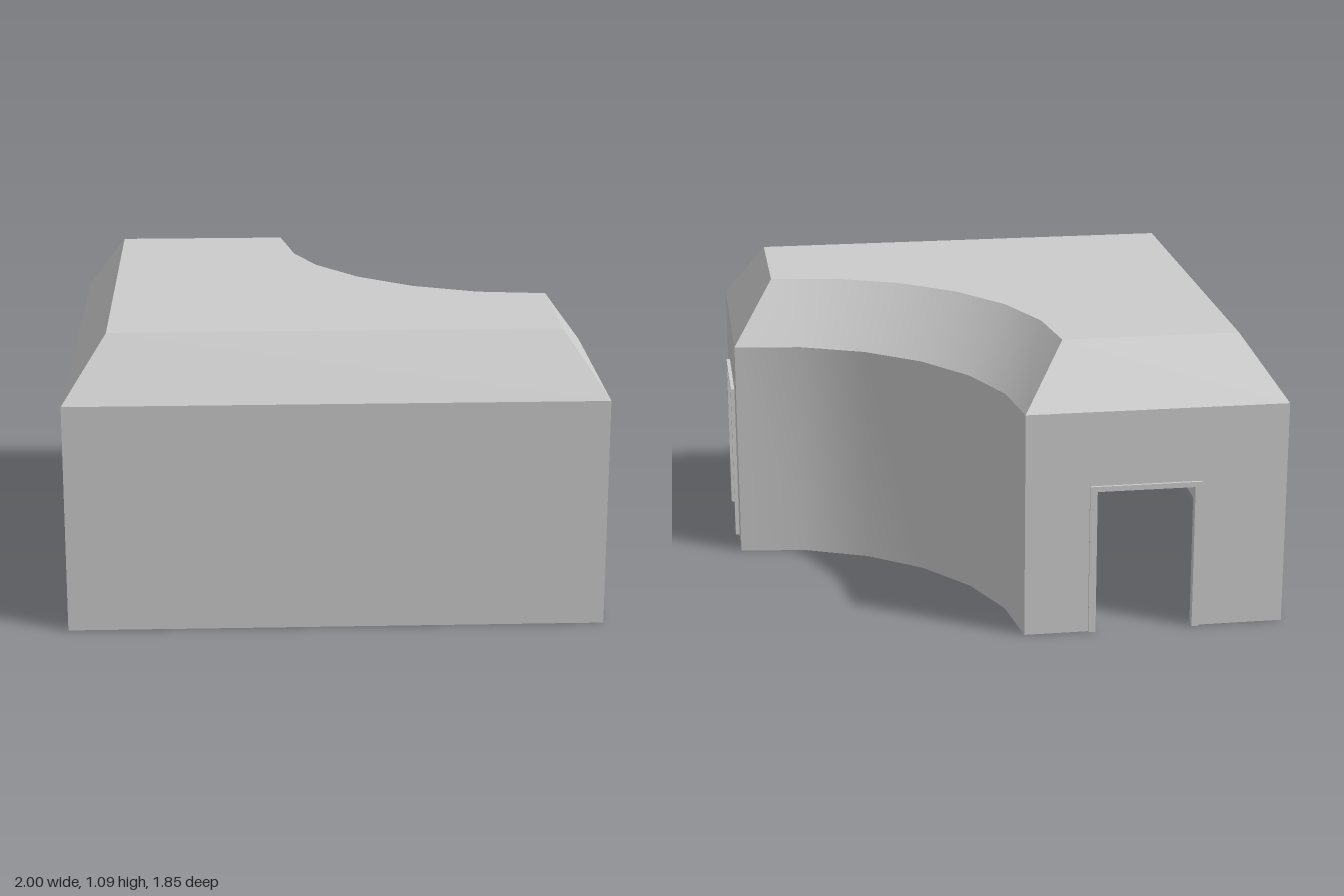
import * as THREE from 'three';
import { toCreasedNormals } from 'three/addons/utils/BufferGeometryUtils.js';

const WALL = 0.025, EAVE = 0.86, TOP = 1.09, SLOPE = 0.16;
const X0 = -1, X1 = 0.98, Z0 = -0.92, Z1 = 0.92;
const BACK_EDGE = 0, RIGHT_EDGE = 7;

// Footprint moved inwards by d: rectangle with a quarter circle bitten out of one corner
function ring(d) {
  const cx = X1 - d, cz = Z0 + d, pts = [[X0 + d, Z0 + d]];
  for (let i = 0; i <= 6; i++) {
    const a = (i / 6) * Math.PI / 2;
    pts.push([cx - Math.cos(a), cz + Math.sin(a)]);
  }
  pts.push([X1 - d, Z1 - d], [X0 + d, Z1 - d]);
  return pts;
}

// Band of quads between two rings, optionally leaving out edges
function band(a, ya, b, yb, inward = false, skip = []) {
  const pos = [];
  for (let i = 0; i < a.length; i++) {
    if (skip.includes(i)) continue;
    const j = (i + 1) % a.length;
    const p = [a[i][0], ya, a[i][1]], q = [a[j][0], ya, a[j][1]];
    const r = [b[j][0], yb, b[j][1]], s = [b[i][0], yb, b[i][1]];
    const tris = inward ? [p, q, r, p, r, s] : [p, s, r, p, r, q];
    tris.forEach((v) => pos.push(...v));
  }
  const g = new THREE.BufferGeometry();
  g.setAttribute('position', new THREE.Float32BufferAttribute(pos, 3));
  return toCreasedNormals(g, 0.5);
}

// Flat sheet filling a ring, facing up or down
function sheet(pts, y, up) {
  const s = up ? -1 : 1;
  const shape = new THREE.Shape(pts.map(([x, z]) => new THREE.Vector2(x, s * z)));
  return new THREE.ShapeGeometry(shape).rotateX(s * Math.PI / 2).translate(0, y, 0);
}

// Upright slab with a doorway notch that reaches the ground
function notched(u0, u1, height, n0, n1, notchHeight, back, front) {
  const corners = [[u0, 0], [n0, 0], [n0, notchHeight], [n1, notchHeight], [n1, 0], [u1, 0], [u1, height], [u0, height]];
  const shape = new THREE.Shape(corners.map(([x, y]) => new THREE.Vector2(x, y)));
  return new THREE.ExtrudeGeometry(shape, { depth: front - back, bevelEnabled: false }).translate(0, 0, back);
}

export function createModel() {
  const model = new THREE.Group();
  const material = new THREE.MeshStandardMaterial({ color: 0xcccccc });
  const add = (name, geometry, parent = model) => {
    const mesh = new THREE.Mesh(geometry, material);
    mesh.name = name;
    parent.add(mesh);
  };

  const outer = ring(0), inner = ring(WALL);
  const roof = ring(SLOPE), ceiling = ring(SLOPE + 0.02);
  const doors = [BACK_EDGE, RIGHT_EDGE];

  // Plain walls, open underneath
  add('outerWalls', band(outer, 0, outer, EAVE, false, doors));
  add('innerWalls', band(inner, 0, inner, EAVE, true, doors));
  add('wallBottomRim', band(outer, 0, inner, 0, true, doors));

  // Hollow bevelled roof
  add('roofSlope', band(outer, EAVE, roof, TOP));
  add('roofTop', sheet(roof, TOP, true));
  add('ceilingSlope', band(inner, EAVE, ceiling, TOP - WALL, true));
  add('ceiling', sheet(ceiling, TOP - WALL, false));

  // End walls with framed doorways
  function doorEnd(name, u0, u1, centre, doorHeight, proud) {
    const group = new THREE.Group();
    group.name = name;
    const l = centre - 0.21, r = centre + 0.21;
    add('doorWall', notched(u0, u1, EAVE, l, r, doorHeight, -WALL, 0), group);
    add('doorFrame', notched(l, r, doorHeight, l + 0.027, r - 0.027, doorHeight - 0.02, -WALL, proud), group);
    model.add(group);
    return group;
  }
  const backEnd = doorEnd('backEnd', -X1 + 1, -X0, 0.47, 0.575, 0.01);
  backEnd.position.z = Z0;
  backEnd.rotation.y = Math.PI;
  const leftEnd = doorEnd('leftEnd', -Z1, -Z0 - 1, -0.47, 0.63, 0.015);
  leftEnd.position.x = X1;
  leftEnd.rotation.y = Math.PI / 2;

  return model;
}
